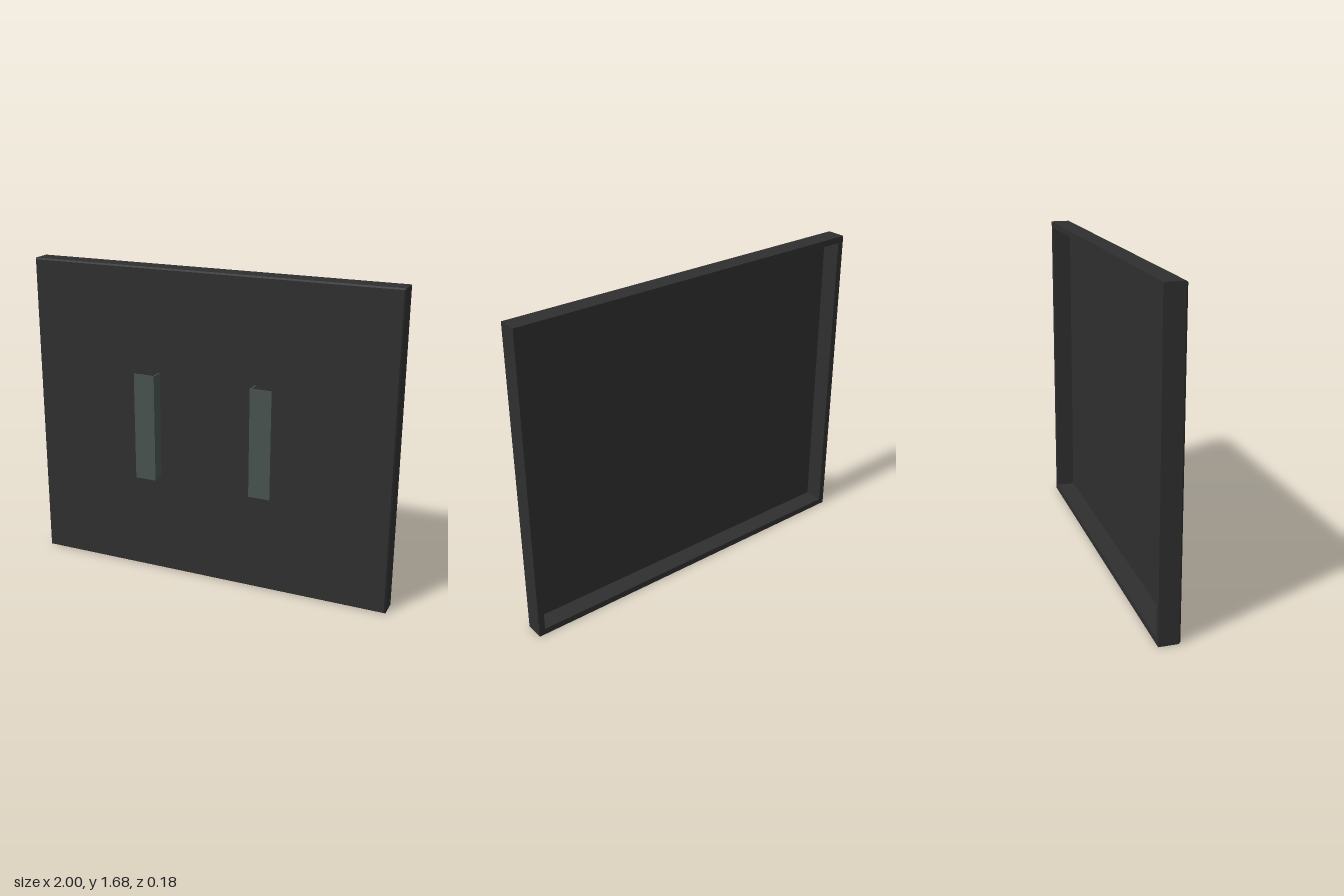
import * as THREE from 'three';

const W = 2, H = 1.68, RIM = 0.033;
const BACK = -0.09, FLOOR = 0.011, FRONT = 0.02, CHAMFER = 0.007;

// Adds a rectangular loop to a shape or path
function rect(path, x0, y0, x1, y1) {
  path.moveTo(x0, y0);
  path.lineTo(x1, y0);
  path.lineTo(x1, y1);
  path.lineTo(x0, y1);
  path.closePath();
  return path;
}

export function createModel() {
  const model = new THREE.Group();
  model.name = 'panelWithBrackets';

  const charcoal = new THREE.MeshStandardMaterial({ color: 0x2f2f2f });
  charcoal.name = 'charcoal';
  const greyGreen = new THREE.MeshStandardMaterial({ color: 0x485250 });
  greyGreen.name = 'greyGreen';

  const add = (parent, name, geometry, material) => {
    const mesh = new THREE.Mesh(geometry, material);
    mesh.name = name;
    parent.add(mesh);
    return mesh;
  };

  // Rim around the open back
  const outline = rect(new THREE.Shape(), -W / 2, 0, W / 2, H);
  outline.holes.push(rect(new THREE.Path(), -W / 2 + RIM, RIM, W / 2 - RIM, H - RIM));
  const rim = new THREE.ExtrudeGeometry(outline, { depth: FLOOR - BACK, bevelEnabled: false });
  rim.translate(0, 0, BACK);
  add(model, 'backRim', rim, charcoal);

  // Front plate with its front edges chamfered
  const plate = new THREE.BoxGeometry(W, H, FRONT - FLOOR);
  const pos = plate.attributes.position;
  for (let i = 0; i < pos.count; i++) {
    if (pos.getZ(i) > 0) {
      pos.setX(i, pos.getX(i) - Math.sign(pos.getX(i)) * CHAMFER);
      pos.setY(i, pos.getY(i) - Math.sign(pos.getY(i)) * CHAMFER);
    }
  }
  plate.computeVertexNormals();
  plate.translate(0, H / 2, (FRONT + FLOOR) / 2);
  add(model, 'frontPlate', plate, charcoal);

  // Two L-shaped brackets, mirrored, with flanges pointing outwards
  const inner = 0.267, outer = 0.383, bottom = 0.55, top = 1.13, tip = 0.09, t = 0.008;
  for (const side of [-1, 1]) {
    const bracket = new THREE.Group();
    bracket.name = side > 0 ? 'leftBracket' : 'rightBracket';
    const web = add(bracket, 'web', new THREE.BoxGeometry(t, top - bottom, tip - FRONT), greyGreen);
    web.position.set(side * (inner + t / 2), (top + bottom) / 2, (tip + FRONT) / 2);
    const flange = add(bracket, 'flange', new THREE.BoxGeometry(outer - inner - t, top - bottom, t), greyGreen);
    flange.position.set(side * (inner + t + outer) / 2, (top + bottom) / 2, tip - t / 2);
    model.add(bracket);
  }

  return model;
}
